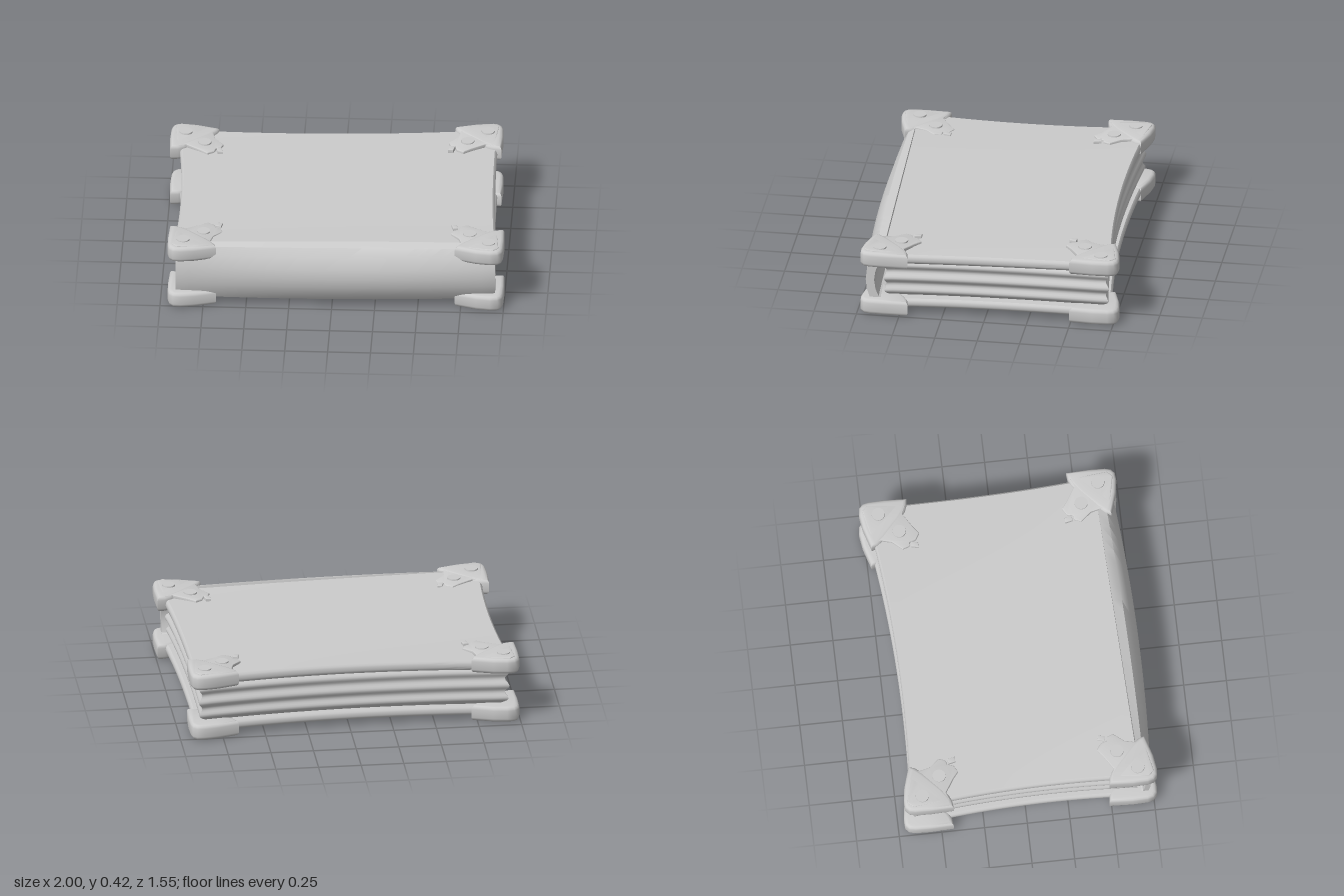
import * as THREE from 'three';
import { toCreasedNormals } from 'three/addons/utils/BufferGeometryUtils.js';

const grey = new THREE.MeshStandardMaterial({ color: 0xcccccc });

// Skewed, pinched plan of the book: 3 x 3 control points [x, z], back row first
const PLAN = [
  [[-0.965, -0.68], [0, -0.655], [0.91, -0.745]],
  [[-0.91, 0], [0, 0], [0.92, 0]],
  [[-0.925, 0.68], [0, 0.645], [0.96, 0.61]],
];
const weights = (t) => [t * (t - 1) / 2, 1 - t * t, t * (t + 1) / 2];

function plan(s, t) {
  const ws = weights(s), wt = weights(t);
  let x = 0, z = 0;
  for (let j = 0; j < 3; j++) {
    for (let i = 0; i < 3; i++) {
      x += PLAN[j][i][0] * ws[i] * wt[j];
      z += PLAN[j][i][1] * ws[i] * wt[j];
    }
  }
  return [x, z];
}

function addMesh(parent, name, geometry, crease = 0.6) {
  const mesh = new THREE.Mesh(toCreasedNormals(geometry, crease), grey);
  mesh.name = name;
  parent.add(mesh);
  return mesh;
}

function moveVertices(geometry, rule) {
  const p = geometry.attributes.position;
  for (let i = 0; i < p.count; i++) p.setXYZ(i, ...rule(p.getX(i), p.getY(i), p.getZ(i)));
  geometry.computeVertexNormals();
  return geometry;
}

// Slab following the plan; bottom and top are heights, inset shapes the edge
function slab(bottom, top, inset, layers) {
  return moveVertices(new THREE.BoxGeometry(2, 1, 2, 24, layers, 24), (s, y, t) => {
    const h = y + 0.5, k = 1 - inset(h);
    const [x, z] = plan(s * k, t * k);
    return [x, THREE.MathUtils.lerp(bottom(s, t), top(s, t), h), z];
  });
}

// Curved spine shell, swept along x, bowed outwards in the middle
function spine() {
  const outer = [[0.635, 0.385], [0.69, 0.37], [0.73, 0.325], [0.757, 0.26], [0.765, 0.205],
    [0.757, 0.15], [0.735, 0.095], [0.70, 0.05], [0.635, 0.038]];
  const inner = [[0.62, 0.085], [0.665, 0.10], [0.69, 0.15], [0.70, 0.205], [0.69, 0.26],
    [0.665, 0.31], [0.62, 0.33]];
  const shape = new THREE.Shape([...outer, ...inner].map(([z, y]) => new THREE.Vector2(-z, y)));
  const geometry = new THREE.ExtrudeGeometry(shape, { depth: 1.86, steps: 24, bevelEnabled: false });
  geometry.rotateY(Math.PI / 2).translate(-0.91, 0, 0);
  return moveVertices(geometry, (x, y, z) => {
    const ridge = 0.64 - 0.038 * x;
    const front = 0.762 - 0.05 * x * x - 0.015 * x;
    const lift = (y - 0.2) * 0.05 * (1 - x * x);
    return [x, y + lift, ridge + (z - 0.635) / 0.13 * (front - ridge)];
  });
}

// Extrude a plan outline given in corner coordinates (u, v run inwards from the corner)
function cornerPlate(corner, outline, y0, y1, bevel) {
  const [cx, cz] = corner;
  const toX = (u) => cx - Math.sign(cx) * u;
  const toZ = (v) => cz - Math.sign(cz) * v;
  const shape = new THREE.Shape(outline.map(([u, v]) => new THREE.Vector2(toX(u), -toZ(v))));
  const geometry = new THREE.ExtrudeGeometry(shape, {
    depth: y1 - y0 - 2 * bevel, bevelThickness: bevel, bevelSize: bevel, bevelOffset: -bevel, bevelSegments: 3,
  });
  return geometry.rotateX(-Math.PI / 2).translate(0, y0 + bevel, 0);
}

const GUARD = [[0.003, 0.06], [0.012, 0.025], [0.035, 0.004], [0.08, 0], [0.16, 0.012], [0.285, 0.05],
  [0.275, 0.085], [0.24, 0.13], [0.13, 0.23], [0.085, 0.265], [0.05, 0.28], [0.006, 0.285], [0, 0.15]];
const TONGUE = [[0.03, 0.05], [0.06, 0.02], [0.26, 0.06], [0.25, 0.11], [0.265, 0.17], [0.315, 0.23],
  [0.30, 0.27], [0.275, 0.275], [0.265, 0.31], [0.225, 0.335], [0.18, 0.30], [0.10, 0.25], [0.05, 0.27]];
const DIAMOND = [[0.275, 0.285], [0.305, 0.28], [0.315, 0.325], [0.285, 0.325]];
const CORNERS = [[-1, -0.715], [0.94, -0.778], [-0.96, 0.772], [1, 0.735]];

function cornerGuard(corner, isTop) {
  const group = new THREE.Group();
  group.name = isTop ? 'topCornerGuard' : 'bottomCornerGuard';
  const [cx, cz] = corner, sx = Math.sign(cx), sz = Math.sign(cz);
  const slope = (x, z) => 0.03 * ((cx - x) * sx + (cz - z) * sz - 0.2) * (isTop ? -1 : 1);
  const tilt = (g) => moveVertices(g, (x, y, z) => [x, y + slope(x, z), z]);

  const base = isTop ? 0.303 : 0;
  addMesh(group, 'guardBlock', cornerPlate(corner, GUARD, base, base + 0.094, 0.022), 0.9);
  const low = isTop ? 0.367 : 0.004;
  addMesh(group, 'guardTongue', tilt(cornerPlate(corner, TONGUE, low, low + 0.032, 0.005)));

  if (isTop) {
    for (const [u, v] of [[0.09, 0.11], [0.205, 0.22]]) {
      const x = cx - sx * u, z = cz - sz * v;
      const rivet = addMesh(group, 'rivet', new THREE.CylinderGeometry(0.038, 0.041, 0.02, 24));
      rivet.position.set(x, 0.396 + slope(x, z), z);
    }
    addMesh(group, 'diamondStud', tilt(cornerPlate(corner, DIAMOND, 0.37, 0.406, 0.003)));
    if (cx > 0 && cz < 0) group.position.y = 0.01;
  }
  return group;
}

export function createModel() {
  const book = new THREE.Group();
  book.name = 'book';

  // Covers with softly rounded edges
  const round = (h) => 0.016 * Math.pow(Math.abs(2 * h - 1), 3);
  const topY = (s, t) => 0.381 - 0.006 * s * s + 0.004 * t * t + 0.006 * s * -t;
  const bottomY = (s, t) => 0.043 - 0.004 * t * t - 0.004 * s * s;
  addMesh(book, 'topCover', slab((s, t) => topY(s, t) - 0.058, topY, round, 6));
  addMesh(book, 'bottomCover', slab(bottomY, (s, t) => bottomY(s, t) + 0.052, round, 6));

  // Page block with rippled edges
  const ripple = (h) => 0.036 + 0.012 * Math.cos(h * Math.PI * 6) + 0.03 * Math.pow(2 * h - 1, 4);
  addMesh(book, 'pages', slab(() => 0.085, () => 0.335, ripple, 24), 0.9);

  addMesh(book, 'spine', spine());

  for (const corner of CORNERS) {
    book.add(cornerGuard(corner, true), cornerGuard(corner, false));
  }
  return book;
}
